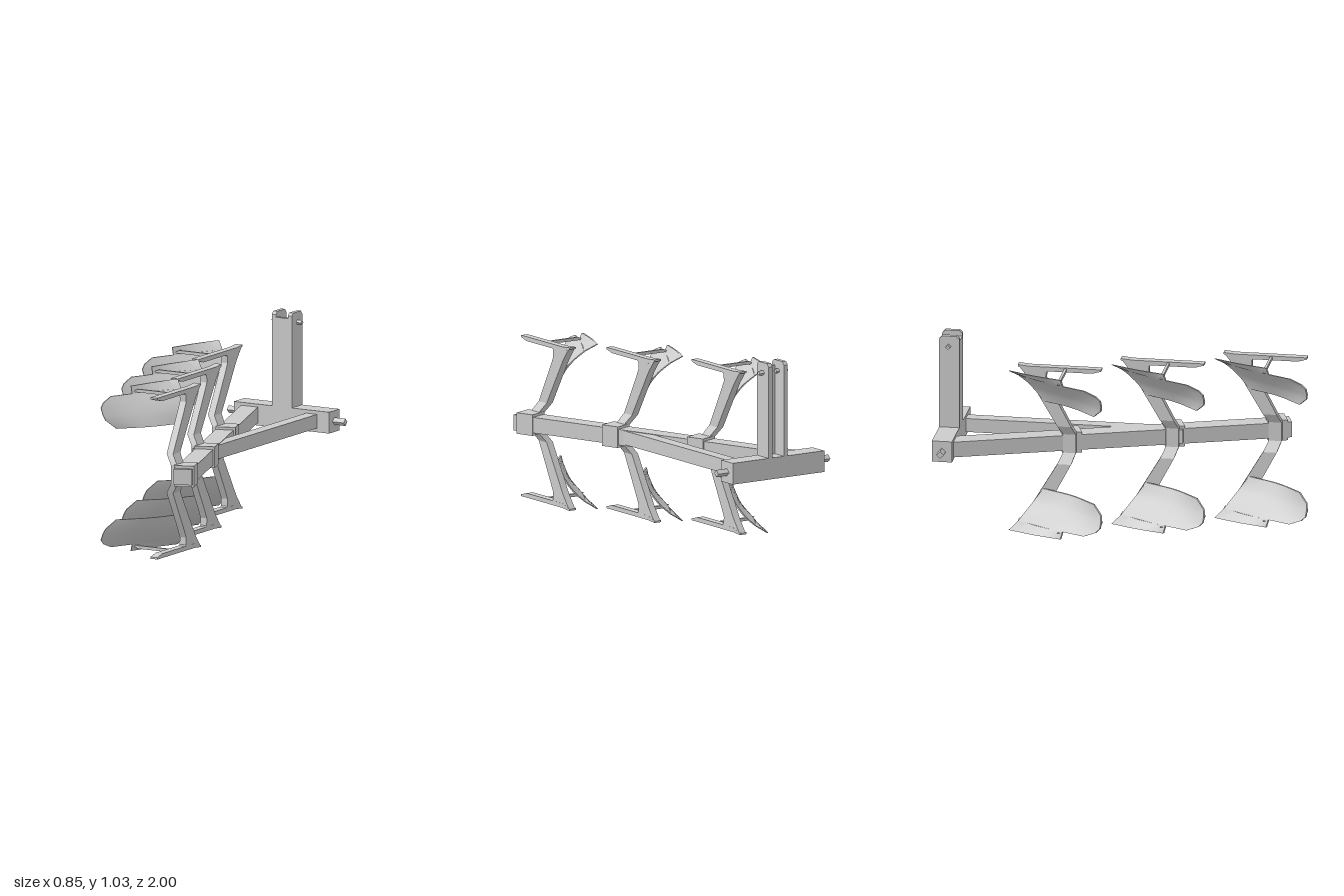
import * as THREE from 'three';
import { toCreasedNormals } from 'three/addons/utils/BufferGeometryUtils.js';

const H = 0.905; // the lower and upper tools mirror within this height
const MID = 0.4525;
const mat = new THREE.MeshStandardMaterial({ color: 0xcccccc });

function add(parent, name, geo, x = 0, y = 0, z = 0) {
  const m = new THREE.Mesh(geo, mat);
  m.name = name;
  m.position.set(x, y, z);
  parent.add(m);
  return m;
}

// Box given by its limits on each axis
function block(parent, name, x0, x1, y0, y1, z0, z1) {
  return add(parent, name, new THREE.BoxGeometry(x1 - x0, y1 - y0, z1 - z0),
    (x0 + x1) / 2, (y0 + y1) / 2, (z0 + z1) / 2);
}

// Four-sided pin along x
function pin(parent, name, x0, x1, y, z, r) {
  const geo = new THREE.CylinderGeometry(r, r, x1 - x0, 4).toNonIndexed();
  geo.computeVertexNormals();
  add(parent, name, geo.rotateZ(Math.PI / 2), (x0 + x1) / 2, y, z);
}

// Closed solid through rings of [x, y, z]; faces are turned outward by signed volume
function loft(rings, crease = 0.6) {
  const n = rings[0].length;
  const p = rings.flat().map(a => new THREE.Vector3(...a));
  const tris = [];
  const quad = (a, b, c, d) => tris.push([a, b, c], [a, c, d]);
  for (let r = 0; r < rings.length - 1; r++) {
    for (let i = 0; i < n; i++) {
      const j = (i + 1) % n;
      quad(r * n + i, r * n + j, (r + 1) * n + j, (r + 1) * n + i);
    }
  }
  const last = (rings.length - 1) * n;
  for (let i = 0; i < n / 2 - 1; i++) {
    quad(n - 1 - i, n - 2 - i, i + 1, i);
    quad(last + i, last + i + 1, last + n - 2 - i, last + n - 1 - i);
  }
  let vol = 0;
  const c = p[0];
  for (const [i, j, k] of tris) {
    const a = p[i].clone().sub(c), b = p[j].clone().sub(c);
    vol += a.cross(b).dot(p[k].clone().sub(c));
  }
  if (vol < 0) tris.forEach(t => t.reverse());
  const geo = new THREE.BufferGeometry().setFromPoints(p);
  geo.setIndex(tris.flat());
  return toCreasedNormals(geo.toNonIndexed(), crease);
}

// Curved plate: each row [y, [x, z], [x, z], [x, z]] runs from leading to trailing edge
function plate(rows, flipY) {
  return loft(rows.map(([y, ...pts]) => {
    const curve = new THREE.CatmullRomCurve3(pts.map(([x, z]) => new THREE.Vector3(x, flipY(y), z)));
    const face = curve.getPoints(10);
    return [
      ...face.map(v => [v.x, v.y, v.z]),
      ...face.reverse().map(v => [v.x + 0.007, v.y, v.z + 0.006]),
    ];
  }));
}

// One ploughing tool: leg, landside, strut, share and curved mouldboard
function makeTool(upper) {
  const g = new THREE.Group();
  g.name = upper ? 'upperTool' : 'lowerTool';
  const fy = y => (upper ? H - y : y);

  // Leg sections: [y, centre x, front z, rear z]
  const leg = [
    [MID, 0.3, 0.735, 0.805], [0.4, 0.3, 0.735, 0.805], [0.345, 0.262, 0.71, 0.785],
    [0.13, 0.262, 0.583, 0.672], [0.08, 0.262, 0.553, 0.648],
    [0.04, 0.262, 0.522, 0.65], [0.012, 0.262, 0.5, 0.69],
  ];
  add(g, 'leg', loft(leg.map(([y, x, z0, z1]) => [
    [x - 0.02, fy(y), z0], [x + 0.02, fy(y), z0], [x + 0.02, fy(y), z1], [x - 0.02, fy(y), z1],
  ]), 0.2));

  // Landside bar sections: [z, low y, high y]
  const bar = [[0.495, 0.004, 0.014], [0.56, 0.01, 0.034], [0.9, 0.01, 0.034], [0.95, 0.01, 0.02]];
  add(g, 'landside', loft(bar.map(([z, a, b]) => [
    [0.24, fy(a), z], [0.283, fy(a), z], [0.283, fy(b), z], [0.24, fy(b), z],
  ]), 0.1));

  // Strut from landside to mouldboard
  add(g, 'strut', loft([[0.25, 0.25], [0.045, 0.01]].map(([low, high]) => [
    [low, fy(0.015), 0.748], [low, fy(0.015), 0.762], [high, fy(0.032), 0.762], [high, fy(0.032), 0.748],
  ]), 0.1));

  add(g, 'share', plate([
    [0, [0.115, 0.465], [0.052, 0.61], [0.002, 0.765]],
    [0.039, [0.165, 0.51], [0.083, 0.64], [0.015, 0.775]],
  ], fy));
  add(g, 'mouldboard', plate([
    [0.039, [0.165, 0.51], [0.05, 0.705], [-0.042, 0.9]],
    [0.065, [0.19, 0.53], [0.068, 0.735], [-0.05, 0.965]],
    [0.09, [0.21, 0.55], [0.085, 0.76], [-0.05, 0.99]],
    [0.125, [0.227, 0.577], [0.105, 0.785], [-0.036, 0.994]],
    [0.156, [0.236, 0.6], [0.122, 0.8], [-0.02, 0.99]],
    [0.203, [0.238, 0.635], [0.148, 0.802], [0.02, 0.945]],
  ], fy));
  return g;
}

export function createModel() {
  const model = new THREE.Group();
  model.name = 'reversiblePlough';

  // Headstock with side pins
  block(model, 'crossbar', -0.35, 0.25, 0.395, 0.512, -1, -0.89);
  pin(model, 'rightHitchPin', -0.415, -0.34, MID + 0.002, -0.945, 0.02);
  pin(model, 'leftHitchPin', 0.24, 0.32, MID + 0.002, -0.945, 0.02);

  // Mast: two cheeks joined by a front plate, open to the rear
  const cheek = new THREE.Shape([
    [0.89, 0.5], [1, 0.5], [1, 1.012], [0.985, 1.03], [0.905, 1.03], [0.89, 1.015],
  ].map(([a, b]) => new THREE.Vector2(a, b)));
  for (const [name, x] of [['rightCheek', -0.11], ['leftCheek', -0.01]]) {
    const geo = new THREE.ExtrudeGeometry(cheek, { depth: 0.025, bevelEnabled: false });
    add(model, name, geo.rotateY(Math.PI / 2), x);
  }
  block(model, 'mastPlate', -0.09, -0.005, 0.5, 1.0, -0.915, -0.89);
  pin(model, 'rightMastPin', -0.14, -0.065, 0.974, -0.948, 0.013);
  pin(model, 'leftMastPin', -0.03, 0.045, 0.974, -0.948, 0.013);

  // Straight beam and diagonal main beam
  block(model, 'straightBeam', 0.105, 0.175, 0.417, 0.493, -0.9, 0.295);
  const angle = Math.atan2(0.627, 1.728);
  const diagonal = new THREE.Group();
  diagonal.name = 'diagonalBeam';
  diagonal.position.set(0.375, MID, 0.838);
  diagonal.rotation.y = angle;
  block(diagonal, 'mainBeam', -0.05, 0.05, -0.043, 0.043, -1.88, 0);
  model.add(diagonal);

  // Three clamps on the main beam, each carrying a mirrored pair of tools
  for (let i = 0; i < 3; i++) {
    const station = new THREE.Group();
    station.name = 'station' + (i + 1);
    station.position.set(-0.191 * i, 0, -0.53 * i);
    const clamp = add(station, 'clamp', new THREE.BoxGeometry(0.11, 0.116, 0.105), 0.351, MID, 0.765);
    clamp.rotation.y = angle;
    station.add(makeTool(false), makeTool(true));
    model.add(station);
  }
  return model;
}
